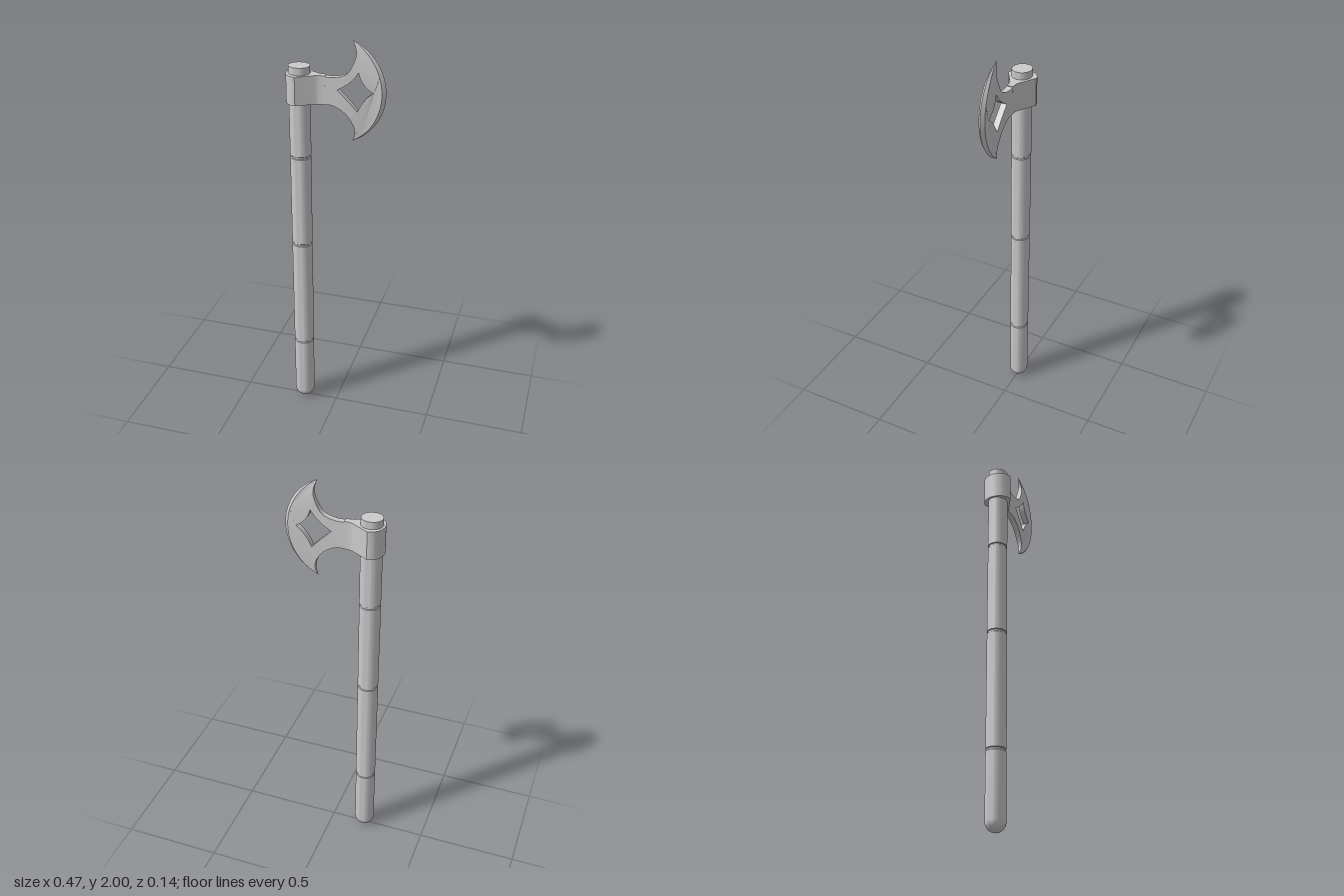
import * as THREE from 'three';
import { toCreasedNormals } from 'three/addons/utils/BufferGeometryUtils.js';

const material = new THREE.MeshStandardMaterial({ color: 0xcccccc });
const SHAFT_X = -0.176, MID_Y = 1.762, HALF_Y = 0.238, HALF_T = 0.015;
const V2 = (x, y) => new THREE.Vector2(x, y);

function part(name, geometry, crease = 0.6) {
  const mesh = new THREE.Mesh(toCreasedNormals(geometry, crease), material);
  mesh.name = name;
  return mesh;
}

// Round shaft with a domed foot, flat top and three narrow grooves
function makeShaft() {
  const r = 0.051, points = [];
  for (let i = 0; i <= 8; i++) {
    const a = (i / 8) * Math.PI / 2;
    points.push(V2(r * Math.sin(a), 0.05 * (1 - Math.cos(a))));
  }
  for (const y of [0.37, 0.95, 1.42]) {
    points.push(V2(r, y - 0.007), V2(r - 0.004, y - 0.004), V2(r - 0.004, y + 0.004), V2(r, y + 0.007));
  }
  points.push(V2(r, 1.863), V2(0, 1.863));
  const shaft = part('shaft', new THREE.LatheGeometry(points, 32));
  shaft.scale.z = 0.93;
  shaft.position.x = SHAFT_X;
  return shaft;
}

// Collar around the shaft: round behind, tapering forward into the neck
function makeCollar() {
  const s = new THREE.Shape();
  s.moveTo(-0.05, -HALF_T);
  s.lineTo(-0.05, HALF_T);
  s.quadraticCurveTo(-0.08, HALF_T, -0.092, 0.021);
  s.lineTo(SHAFT_X, 0.071);
  s.absellipse(SHAFT_X, 0, 0.061, 0.071, Math.PI / 2, Math.PI * 1.5, false);
  s.lineTo(-0.092, -0.021);
  s.quadraticCurveTo(-0.08, -HALF_T, -0.05, -HALF_T);
  const g = new THREE.ExtrudeGeometry(s, { depth: 0.137, bevelEnabled: false, curveSegments: 10 });
  g.rotateX(-Math.PI / 2);
  g.translate(0, 1.691, 0);
  return part('collar', g);
}

// Blade thickness thins out towards both tips
const halfThickness = (y) => HALF_T * Math.max(0.06, 1 - ((y - MID_Y) / HALF_Y) ** 4);

// Circular arc from the lower tip to the upper tip, bulging forward by sag
function edgeArc(sag, n = 28) {
  const R = (HALF_Y ** 2 + sag ** 2) / (2 * sag), end = Math.asin(HALF_Y / R);
  return Array.from({ length: n + 1 }, (_, i) => {
    const a = -end + (2 * end * i) / n;
    return V2(0.077 + sag - R + R * Math.cos(a), MID_Y + R * Math.sin(a));
  });
}

// Crescent blade with neck and four-pointed opening
function makeBlade(inner) {
  const s = new THREE.Shape();
  s.moveTo(-0.06, 1.692);
  s.splineThru([V2(-0.01, 1.689), V2(0.045, 1.658), V2(0.08, 1.61), V2(0.091, 1.567), inner[0]]);
  inner.slice(1).forEach((p) => s.lineTo(p.x, p.y));
  s.splineThru([V2(0.095, 1.95), V2(0.087, 1.905), V2(0.06, 1.854), V2(0.026, 1.832), V2(-0.02, 1.823), V2(-0.06, 1.826)]);
  s.closePath();

  const star = new THREE.Path();
  star.moveTo(0.008, 1.767);
  star.quadraticCurveTo(0.075, 1.802, 0.108, 1.857);
  star.quadraticCurveTo(0.118, 1.8, 0.177, 1.767);
  star.quadraticCurveTo(0.13, 1.735, 0.103, 1.672);
  star.quadraticCurveTo(0.068, 1.712, 0.008, 1.767);
  s.holes.push(star);

  const g = new THREE.ExtrudeGeometry(s, { depth: 1, bevelEnabled: false, curveSegments: 5 });
  const p = g.attributes.position;
  for (let i = 0; i < p.count; i++) p.setZ(i, (p.getZ(i) > 0.5 ? 1 : -1) * halfThickness(p.getY(i)));
  return part('blade', g);
}

// Ground bevels from the blade faces to the cutting edge
function makeCuttingEdge(inner, outer) {
  const pos = [];
  for (const side of [1, -1]) {
    const rim = (i) => [inner[i].x, inner[i].y, side * halfThickness(inner[i].y)];
    const tip = (i) => [outer[i].x, outer[i].y, 0];
    for (let i = 0; i < inner.length - 1; i++) {
      const quad = [rim(i), tip(i), tip(i + 1), rim(i), tip(i + 1), rim(i + 1)];
      if (side < 0) quad.reverse();
      pos.push(...quad.flat());
    }
  }
  const g = new THREE.BufferGeometry();
  g.setAttribute('position', new THREE.Float32BufferAttribute(pos, 3));
  g.computeVertexNormals();
  return part('cuttingEdge', g);
}

export function createModel() {
  const model = new THREE.Group();
  model.name = 'axe';
  const inner = edgeArc(0.14), outer = edgeArc(0.157);
  const head = new THREE.Group();
  head.name = 'axeHead';
  head.add(makeCollar(), makeBlade(inner), makeCuttingEdge(inner, outer));
  model.add(makeShaft(), head);
  return model;
}
